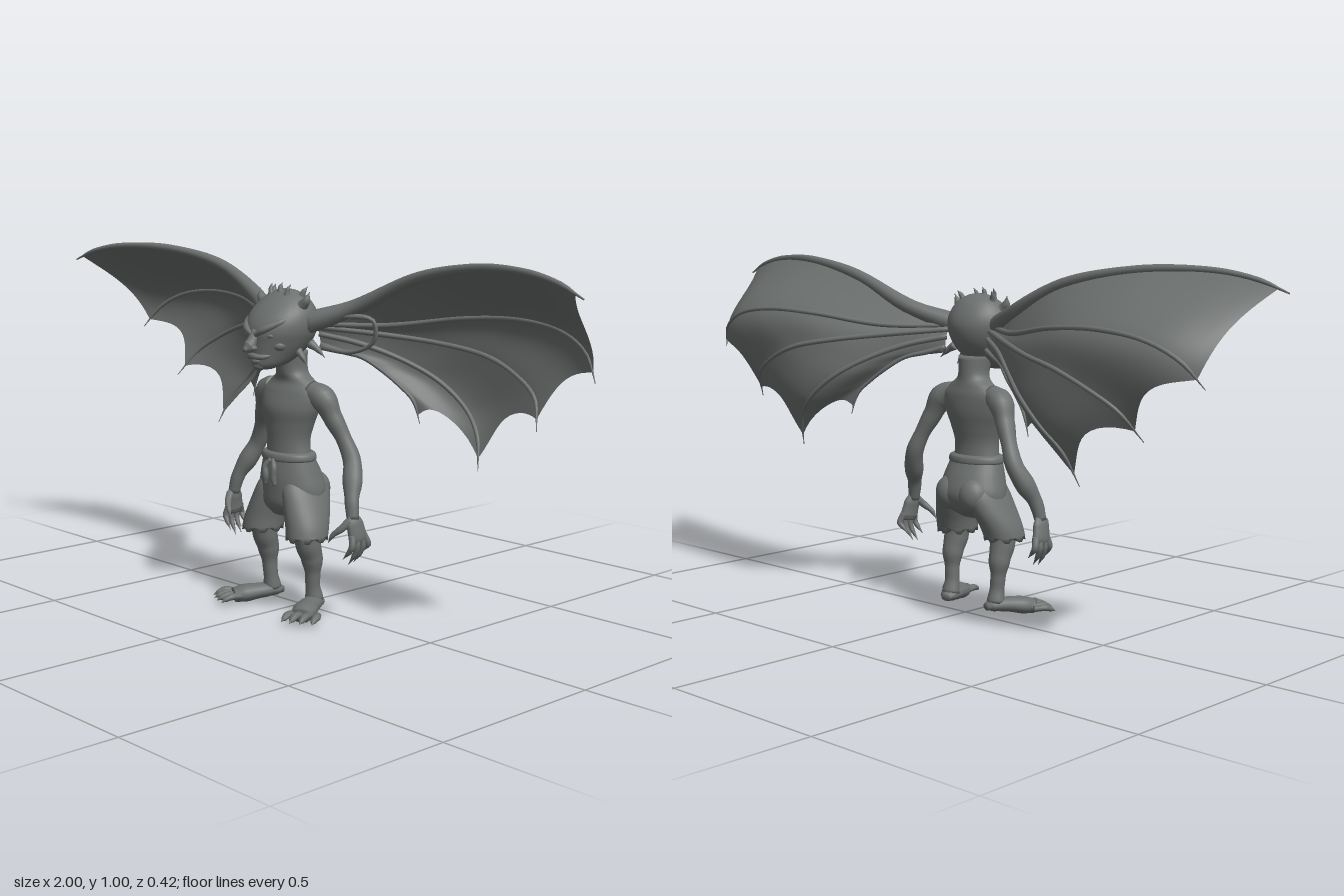
import * as THREE from 'three';

const V = (x, y, z) => new THREE.Vector3(x, y, z);
const skin = new THREE.MeshStandardMaterial({ color: 0x6c706e, side: THREE.DoubleSide });
skin.name = 'grey skin';

// Smooth surface through rows of points; rings wrap around when closed
function surface(rows, closed) {
  const n = rows[0].length, index = [];
  for (let i = 0; i < rows.length - 1; i++) {
    for (let j = 0; j < (closed ? n : n - 1); j++) {
      const k = (j + 1) % n, a = i * n + j, b = i * n + k, c = a + n, d = b + n;
      index.push(a, b, c, b, d, c);
    }
  }
  const geo = new THREE.BufferGeometry().setFromPoints(rows.flat());
  geo.setIndex(index);
  geo.computeVertexNormals();
  return geo;
}

function add(parent, name, geo) {
  const mesh = new THREE.Mesh(geo, skin);
  mesh.name = name;
  parent.add(mesh);
  return mesh;
}

// Upright body section; each ring is [y, centre x, half width, front z, back z]
function loft(rings, hem = 0, steps = 6, sides = 32) {
  const a = new THREE.CatmullRomCurve3(rings.map(r => V(r[0], r[1], r[2])), false, 'catmullrom');
  const b = new THREE.CatmullRomCurve3(rings.map(r => V(r[3], r[4], 0)), false, 'catmullrom');
  const n = (rings.length - 1) * steps, rows = [];
  for (let i = -1; i <= n + 1; i++) {
    const t = Math.min(Math.max(i / n, 0), 1), p = a.getPoint(t), q = b.getPoint(t);
    const k = i < 0 || i > n ? 0 : 1, row = [];
    for (let j = 0; j < sides; j++) {
      const w = j / sides * Math.PI * 2;
      const drop = i === 0 ? hem * (j % 4 < 2 ? 1 : -0.3) : 0;
      row.push(V(p.y + k * p.z * Math.sin(w), p.x - drop, (q.x + q.y) / 2 + k * (q.x - q.y) / 2 * Math.cos(w)));
    }
    rows.push(row);
  }
  return surface(rows, true);
}

// Tapered tube through [x, y, z, radius] points, optionally squashed on an axis
function limb(points, squash = V(1, 1, 1), sides = 12) {
  const curve = new THREE.CatmullRomCurve3(points.map(p => V(p[0], p[1], p[2])));
  const n = Math.max(8, (points.length - 1) * 6), frames = curve.computeFrenetFrames(n), rows = [];
  for (let i = -1; i <= n + 1; i++) {
    const c = Math.min(Math.max(i, 0), n), t = curve.getUtoTmapping(c / n) * (points.length - 1);
    const k = Math.min(Math.floor(t), points.length - 2);
    const r = i < 0 || i > n ? 0 : THREE.MathUtils.lerp(points[k][3], points[k + 1][3], THREE.MathUtils.smoothstep(t - k, 0, 1));
    const centre = curve.getPointAt(c / n), row = [];
    for (let j = 0; j < sides; j++) {
      const w = j / sides * Math.PI * 2;
      row.push(V(0, 0, 0).addScaledVector(frames.normals[c], Math.cos(w) * r)
        .addScaledVector(frames.binormals[c], Math.sin(w) * r).multiply(squash).add(centre));
    }
    rows.push(row);
  }
  return surface(rows, true);
}

function ball(parent, name, x, y, z, rx, ry, rz) {
  const mesh = add(parent, name, new THREE.SphereGeometry(1, 20, 14));
  mesh.position.set(x, y, z);
  mesh.scale.set(rx, ry, rz);
}

// Wing ribs from leading edge to innermost, each from ear root to claw
const ribs = [
  [[.07, .80, .05, .03], [.2, .85, -.02, .022], [.38, .93, -.04, .016], [.6, .972, -.02, .012], [.8, .975, .02, .009], [.92, .955, .04, .007], [1, .925, .052, .002]],
  [[.08, .80, .03, .008], [.25, .80, -.08, .008], [.45, .828, -.165, .007], [.62, .835, -.19, .007], [.76, .815, -.185, .006], [.85, .77, -.165, .006], [.9, .705, -.135, .001]],
  [[.08, .79, .015, .008], [.22, .775, -.08, .008], [.37, .755, -.165, .007], [.5, .73, -.2, .007], [.6, .69, -.2, .006], [.68, .64, -.18, .006], [.725, .565, -.135, .001]],
  [[.08, .77, .005, .008], [.18, .745, -.06, .008], [.28, .70, -.13, .007], [.36, .65, -.175, .007], [.44, .585, -.19, .006], [.5, .52, -.17, .006], [.53, .435, -.14, .001]],
  [[.08, .74, .0, .008], [.13, .725, -.025, .007], [.185, .71, -.055, .006], [.23, .68, -.08, .006], [.28, .64, -.1, .005], [.32, .60, -.115, .005], [.34, .54, -.12, .001]],
];
const scallops = [.05, .1, .13, .17, 0];

function membrane(s) {
  const curves = ribs.map(r => new THREE.CatmullRomCurve3(r.map(p => V(s * p[0], p[1], p[2])), false, 'catmullrom'));
  const rows = [];
  for (let j = 0; j <= 48; j++) {
    const v = j / 12, row = [];
    const cut = scallops[Math.floor(v)] * Math.sin((v % 1) * Math.PI);
    for (let i = 0; i <= 36; i++) {
      const u = i / 36, t = .94 * u - cut * u ** 3;
      row.push(new THREE.CatmullRomCurve3(curves.map(c => c.getPoint(t)), false, 'catmullrom').getPoint(v / 4));
    }
    rows.push(row);
  }
  return surface(rows, false);
}

export function createModel() {
  const model = new THREE.Group();
  model.name = 'wingedImp';

  // Head and face
  const head = new THREE.Group();
  head.name = 'head';
  model.add(head);
  add(head, 'skull', loft([
    [.679, 0, .022, .16, .11], [.692, 0, .045, .168, .06], [.72, 0, .066, .17, .012], [.75, 0, .083, .172, -.014],
    [.78, 0, .095, .174, -.027], [.81, 0, .098, .164, -.03], [.84, 0, .09, .141, -.02], [.87, 0, .066, .106, .002],
    [.887, 0, .036, .078, .03], [.892, 0, .008, .06, .05]]));
  add(head, 'nose', limb([[0, .785, .165, .01], [0, .762, .175, .014], [0, .742, .19, .017], [0, .734, .207, .006]]));
  add(head, 'upperLip', limb([[-.048, .722, .135, .003], [-.025, .714, .165, .007], [0, .716, .175, .009], [.025, .714, .165, .007], [.048, .722, .135, .003]]));
  add(head, 'lowerLip', limb([[-.04, .706, .13, .003], [0, .701, .169, .007], [.04, .706, .13, .003]]));
  ball(head, 'chin', 0, .688, .153, .022, .013, .015);
  add(head, 'middleHorn', limb([[0, .875, .075, .012], [0, .895, .075, .007], [0, .908, .068, .001]]));

  // Torso and shorts
  add(model, 'torso', loft([
    [.4, 0, .08, .098, -.008], [.47, 0, .07, .096, -.004], [.52, 0, .082, .097, -.012], [.565, 0, .1, .098, -.02],
    [.61, 0, .106, .082, -.02], [.638, 0, .078, .07, -.015], [.665, 0, .044, .077, -.012], [.72, 0, .044, .09, -.012]]));
  add(model, 'shortsSeat', loft([
    [.265, 0, .05, .085, .01], [.295, 0, .098, .108, -.035], [.335, 0, .106, .112, -.052],
    [.38, 0, .096, .112, -.04], [.43, 0, .082, .105, -.014]]));
  add(model, 'waistband', loft([[.418, 0, .08, .104, -.014], [.424, 0, .088, .11, -.02], [.438, 0, .086, .108, -.018], [.444, 0, .076, .1, -.01]]));

  for (const s of [1, -1]) {
    const m = pts => pts.map(p => [s * p[0], ...p.slice(1)]);
    const tube = (parent, name, pts, squash) => add(parent, name, limb(m(pts), squash));

    // Eyes, brows, cheeks and spikes
    ball(head, 'eye', s * .04, .772, .152, .017, .009, .011);
    tube(head, 'brow', [[.008, .774, .174, .007], [.035, .789, .166, .01], [.062, .806, .138, .009], [.08, .822, .105, .003]]);
    ball(head, 'cheek', s * .046, .745, .125, .026, .018, .024);
    ball(head, 'nostril', s * .012, .739, .183, .009, .008, .011);
    tube(head, 'largeHorn', [[.07, .845, .065, .018], [.09, .862, .065, .012], [.1, .888, .06, .001]]);
    tube(head, 'smallHorn', [[.03, .87, .08, .011], [.034, .89, .08, .006], [.038, .905, .072, .001]]);
    tube(head, 'browHorn', [[.05, .86, .05, .012], [.06, .885, .045, .007], [.065, .899, .035, .001]]);
    tube(head, 'cheekSpike', [[.062, .73, .07, .013], [.08, .712, .068, .008], [.095, .69, .065, .001]]);
    tube(head, 'jawSpike', [[.07, .745, .03, .013], [.093, .73, .024, .008], [.115, .71, .018, .001]]);

    // Wing-shaped ear
    const wing = new THREE.Group();
    wing.name = s > 0 ? 'leftWingEar' : 'rightWingEar';
    model.add(wing);
    add(wing, 'membrane', membrane(s));
    ribs.forEach((r, i) => tube(wing, i ? 'rib' : 'leadingEdge', r));
    tube(wing, 'earRim', [[.09, .815, .045, .012], [.18, .825, .0, .008], [.245, .815, -.035, .006], [.24, .76, -.045, .006], [.17, .725, -.03, .006], [.085, .735, .0, .01]]);

    // Arm, elbow spike and hand
    const arm = new THREE.Group();
    arm.name = s > 0 ? 'leftArm' : 'rightArm';
    model.add(arm);
    tube(arm, 'armLimb', [[.07, .615, .03, .03], [.112, .597, .022, .036], [.14, .545, .01, .027], [.168, .49, -.004, .022],
      [.193, .435, -.01, .025], [.215, .385, .008, .028], [.235, .335, .03, .02], [.247, .285, .038, .017]]);
    tube(arm, 'elbowSpike', [[.215, .38, .0, .018], [.195, .44, -.018, .016], [.172, .488, -.022, .001]]);
    tube(arm, 'palm', [[.244, .305, .038, .014], [.252, .27, .034, .026], [.257, .235, .028, .028], [.256, .22, .026, .018]], V(.55, 1, 1.1));
    for (let i = 0; i < 4; i++) {
      const z = .056 - i * .02, low = [.018, 0, .004, .026][i];
      tube(arm, 'finger', [[.257, .243, z * .7 + .01, .01], [.263, .215, z, .009], [.255, .19 + low * .6, z + .002, .007], [.235, .16 + low, z + .006, .001]]);
    }
    tube(arm, 'thumb', [[.248, .283, .05, .012], [.235, .262, .07, .01], [.217, .245, .082, .007], [.204, .222, .088, .001]]);

    // Trouser leg, drawstring, lower leg and foot
    const leg = new THREE.Group();
    leg.name = s > 0 ? 'leftLeg' : 'rightLeg';
    model.add(leg);
    add(leg, 'shortsLeg', loft([[.215, s * .092, .056, .123, .002], [.25, s * .085, .055, .12, -.012],
      [.3, s * .067, .052, .115, -.035], [.345, s * .052, .045, .108, -.048], [.38, s * .045, .03, .09, -.03]], .009));
    ball(leg, 'buttock', s * .043, .335, -.012, .046, .05, .044);
    tube(leg, 'drawstring', [[.004, .425, .108, .006], [.018, .405, .117, .008], [.016, .38, .118, .009], [.02, .355, .116, .006]]);
    tube(leg, 'shin', [[.088, .25, .062, .04], [.09, .195, .056, .036], [.091, .15, .042, .031], [.09, .105, .038, .022], [.088, .07, .036, .021], [.088, .03, .03, .026]]);
    tube(leg, 'foot', [[.078, .02, .0, .014], [.085, .024, .02, .026], [.102, .023, .06, .031], [.125, .018, .1, .036], [.142, .013, .13, .03]], V(1, .68, 1));
    for (let i = 0; i < 4; i++) {
      const x = .112 + i * .02, reach = [.188, .182, .17, .15][i];
      tube(leg, 'toe', [[x, .014, .115 - i * .006, .011], [x + .008 + i * .004, .017, reach - .03, .012], [x + .012 + i * .005, .012, reach - .014, .009], [x + .014 + i * .007, .005, reach, .001]], V(1, .8, 1));
    }
  }
  return model;
}
